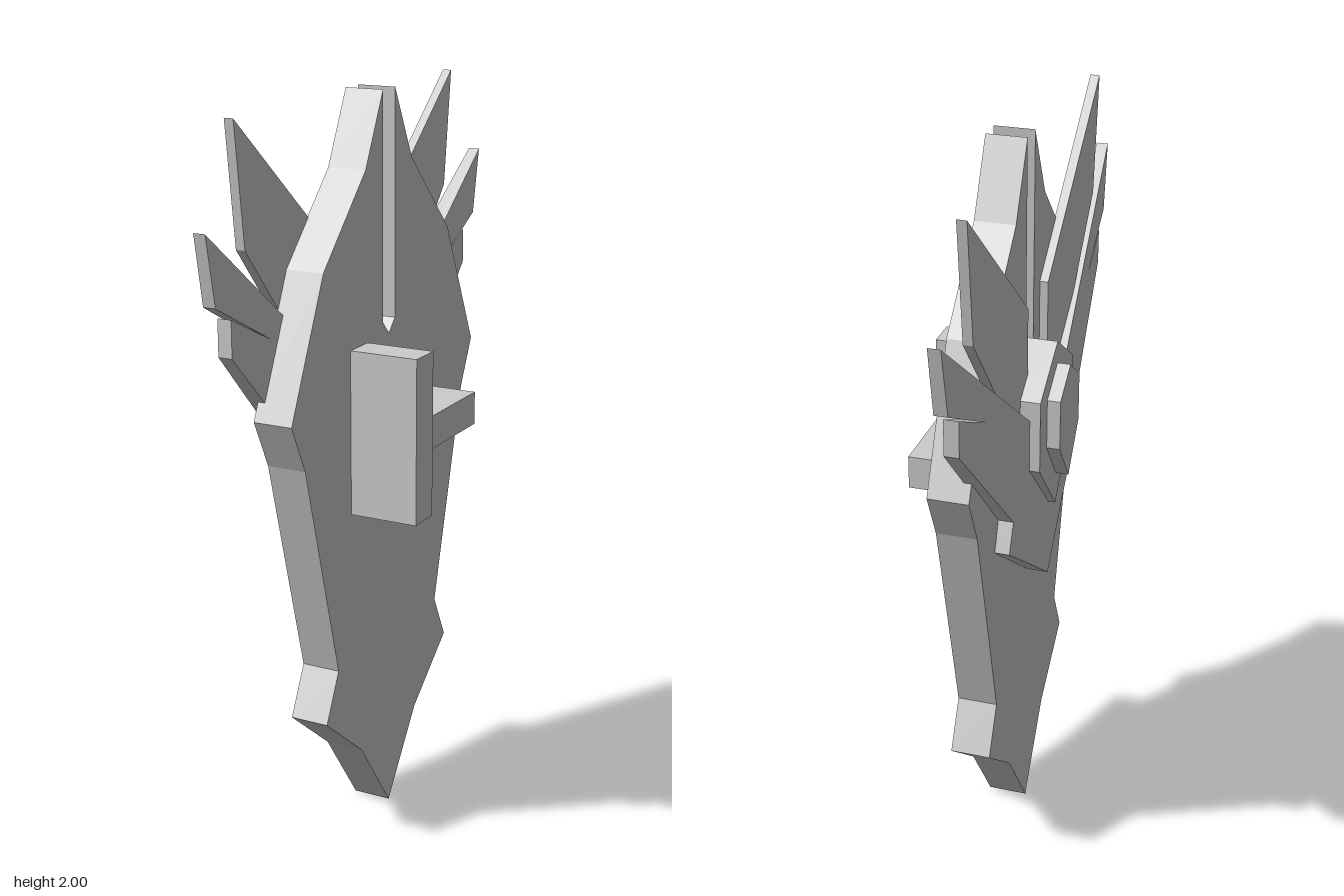
import * as THREE from 'three';

const gray = new THREE.MeshStandardMaterial({ color: 0xcccccc });
gray.name = 'plain gray';

// Plate drawn as [z, y] points and extruded between two x positions
function plate(name, points, xMin, xMax) {
  const shape = new THREE.Shape(points.map(([z, y]) => new THREE.Vector2(z, y)));
  const geo = new THREE.ExtrudeGeometry(shape, { depth: xMax - xMin, bevelEnabled: false });
  geo.rotateY(-Math.PI / 2).translate(xMax, 0, 0);
  const mesh = new THREE.Mesh(geo, gray);
  mesh.name = name;
  return mesh;
}

// Closes a half outline by mirroring it across z = 0
function symmetric(half) {
  const other = half.filter(([z]) => z !== 0).map(([z, y]) => [-z, y]).reverse();
  return [...half, ...other];
}

function box(name, x0, x1, y0, y1, z0, z1) {
  const mesh = new THREE.Mesh(new THREE.BoxGeometry(x1 - x0, y1 - y0, z1 - z0), gray);
  mesh.position.set((x0 + x1) / 2, (y0 + y1) / 2, (z0 + z1) / 2);
  mesh.name = name;
  return mesh;
}

export function createModel() {
  const model = new THREE.Group();
  model.name = 'wingedShield';

  // Shield body with a slot at the top
  model.add(plate('shieldBody', symmetric([
    [0, 1.365], [0.033, 1.4], [0.033, 2], [0.127, 1.81], [0.345, 1.59], [0.508, 1.24],
    [0.445, 1.11], [0.285, 0.51], [0.35, 0.38], [0.16, 0.225], [0, 0],
  ]), -0.095, 0.012));

  for (const s of [1, -1]) {
    const side = (pts) => pts.map(([z, y]) => [s * z, y]);
    // Tall upper feather
    model.add(plate('upperFeather', side([
      [0.09, 1.58], [0.573, 1.985], [0.535, 1.67], [0.09, 1.15],
    ]), -0.117, -0.092));

    // Lower wing with two feathers, its outer face swept back from the middle
    const wing = plate('lowerWing', side([
      [0, 0.77], [0.3, 0.99], [0.27, 1.07], [0.63, 1.43], [0.63, 1.525], [0.445, 1.435],
      [0.695, 1.565], [0.73, 1.745], [0.1, 1.26], [0, 1.2],
    ]), -0.152, -0.075);
    const p = wing.geometry.attributes.position;
    for (let i = 0; i < p.count; i++) {
      if (p.getX(i) < -0.1) p.setX(i, p.getX(i) + 0.062 * Math.abs(p.getZ(i)));
    }
    wing.geometry.computeVertexNormals();
    model.add(wing);
  }

  // Two-step gem
  model.add(plate('gemBase', symmetric([
    [0, 1.46], [0.155, 1.355], [0.155, 1.16], [0, 0.99],
  ]), -0.17, -0.09));
  model.add(plate('gemTop', symmetric([
    [0, 1.4], [0.092, 1.335], [0.092, 1.2], [0, 1.08],
  ]), -0.205, -0.165));

  // Arm brace and grip on the inner side
  model.add(box('armBrace', 0, 0.2, 0.925, 1.365, 0.117, 0.21));
  model.add(box('grip', 0, 0.17, 1.085, 1.175, -0.2, 0.12));
  return model;
}
